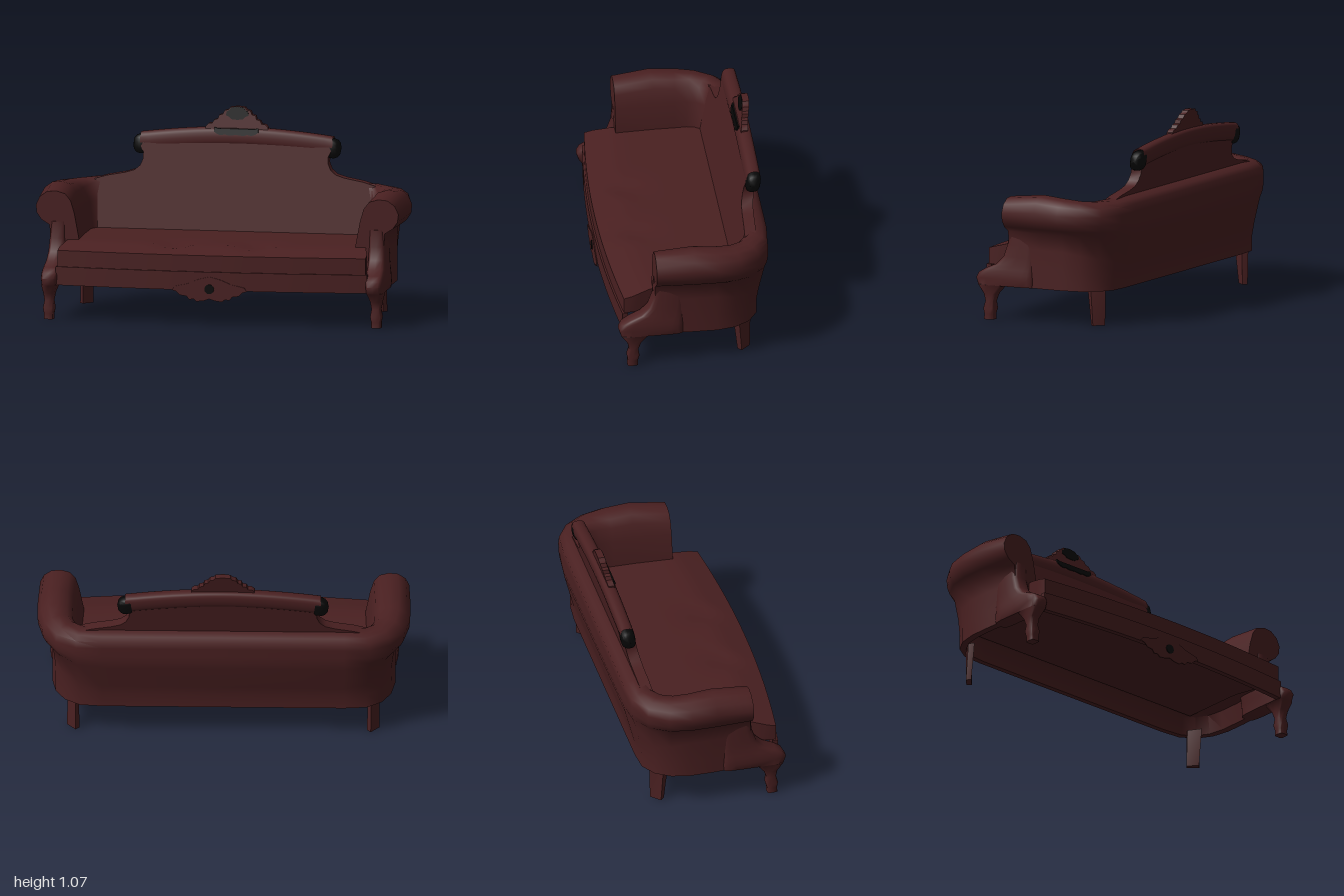
import * as THREE from 'three';
import { toCreasedNormals } from 'three/addons/utils/BufferGeometryUtils.js';

const upholstery = new THREE.MeshStandardMaterial({ color: 0x4a2021, side: THREE.DoubleSide });
upholstery.name = 'mahogany brown';
const black = new THREE.MeshStandardMaterial({ color: 0x060606 });
black.name = 'black trim';

const { lerp, clamp, smoothstep } = THREE.MathUtils;

// Skin closed rings of points into one surface
function loft(rings, crease = 0.8) {
  const n = rings[0].length, index = [];
  for (let i = 0; i < rings.length - 1; i++) {
    for (let j = 0; j < n; j++) {
      const k = (j + 1) % n, a = i * n, b = a + n;
      index.push(a + j, b + j, a + k, b + j, b + k, a + k);
    }
  }
  const geo = new THREE.BufferGeometry();
  geo.setAttribute('position', new THREE.Float32BufferAttribute(rings.flat(2), 3));
  geo.setIndex(index);
  return toCreasedNormals(geo, crease);
}

// Unit oval with squared shoulders; a lower power is squarer
function squaredOval(count, power) {
  const soft = v => Math.sign(v) * Math.abs(v) ** power;
  return Array.from({ length: count }, (_, k) => {
    const a = k / count * Math.PI * 2;
    return [soft(Math.cos(a)), soft(Math.sin(a))];
  });
}

// Move every vertex by a rule
function reshape(geo, rule) {
  const p = geo.attributes.position;
  for (let i = 0; i < p.count; i++) p.setXYZ(i, ...rule(p.getX(i), p.getY(i), p.getZ(i)));
  return toCreasedNormals(geo, 0.7);
}

// Symmetric outline from its right half, extruded backwards from the leaning front face z = front(y)
function leaningPlate(half, depth, front) {
  const left = half.filter(([x]) => x > 0).reverse().map(([x, y]) => [-x, y]);
  const shape = new THREE.Shape([...half, ...left].map(([x, y]) => new THREE.Vector2(x, y)));
  const geo = new THREE.ExtrudeGeometry(shape, { depth, bevelEnabled: false });
  return reshape(geo, (x, y, z) => [x, y, z - depth + front(y)]);
}

export function createModel() {
  const model = new THREE.Group();
  const add = (name, geo, mat = upholstery) => {
    const mesh = new THREE.Mesh(geo, mat);
    mesh.name = name;
    model.add(mesh);
    return mesh;
  };

  // Rolled arms and lower back: one section swept round a U, blending from arm to back
  const armSection = [[0, 0.19], [0, 0.28], [0, 0.4], [0.005, 0.49], [0.05, 0.52], [0.075, 0.56], [0.08, 0.61],
    [0.06, 0.66], [0.02, 0.69], [-0.03, 0.695], [-0.08, 0.68], [-0.11, 0.64], [-0.13, 0.56], [-0.155, 0.42],
    [-0.155, 0.32], [-0.06, 0.29], [-0.04, 0.19]];
  const backSection = [[0, 0.19], [0, 0.27], [0.015, 0.33], [0.053, 0.48], [0.06, 0.52], [0.06, 0.56], [0.06, 0.61],
    [0.06, 0.65], [0.035, 0.67], [0.01, 0.68], [-0.03, 0.69], [-0.06, 0.67], [-0.075, 0.56], [-0.1, 0.42],
    [-0.1, 0.32], [-0.05, 0.29], [-0.03, 0.19]];
  // x, z, blend to back, height change
  const halfPath = [[0.91, 0.205, 0, -0.02], [0.92, 0, 0, 0.003], [0.92, -0.13, 0, -0.008], [0.9, -0.23, 0.25, -0.012],
    [0.85, -0.31, 0.5, -0.012], [0.77, -0.36, 0.8, -0.005], [0.65, -0.37, 1, 0], [0, -0.37, 1, 0]];
  const path = [...halfPath, ...halfPath.slice(0, -1).reverse().map(([x, z, t, h]) => [-x, z, t, h])];
  const rings = path.map(([x, z, t, h], i) => {
    const a = path[Math.max(i - 1, 0)], b = path[Math.min(i + 1, path.length - 1)];
    const dir = new THREE.Vector2(b[0] - a[0], b[1] - a[1]).normalize();
    if (i === 0) dir.set(0, -1);
    if (i === path.length - 1) dir.set(0, 1);
    return armSection.map(([o, y], j) => {
      const off = lerp(o, backSection[j][0], t);
      const high = lerp(y, backSection[j][1], t) + h * smoothstep(y, 0.5, 0.68);
      return [x - dir.y * off, high, z + dir.x * off];
    });
  });
  add('armsAndLowerBack', loft(rings, 1.0));
  for (const [name, ring] of [['leftArmFront', rings[0]], ['rightArmFront', rings[rings.length - 1]]]) {
    const cap = new THREE.ShapeGeometry(new THREE.Shape(ring.map(([x, y]) => new THREE.Vector2(x, y))));
    add(name, cap).position.z = 0.205;
  }

  // Leaning back panel with notched shoulders
  add('backPanel', leaningPlate([[0.76, 0.3], [0.78, 0.62], [0.775, 0.67], [0.7, 0.692], [0.6, 0.71], [0.55, 0.725],
    [0.52, 0.75], [0.505, 0.785], [0.505, 0.82], [0.52, 0.85], [0.5, 0.885], [0.42, 0.91], [0.2, 0.93], [0, 0.935]],
    0.062, y => -0.25 - (y - 0.42) * 0.19));

  // Top roll, drooping to both sides, with black rounded ends tucked under it
  const rollOval = squaredOval(20, 0.7);
  const rollRing = (x, size, drop) => {
    const cy = 0.913 - 0.04 * (Math.min(Math.abs(x), 0.53) / 0.53) ** 1.8 - drop;
    return rollOval.map(([u, v]) => [x, cy + 0.051 * size * u, -0.374 - 0.006 * u - 0.038 * size * v]);
  };
  const rollStations = [...Array.from({ length: 25 }, (_, i) => lerp(-0.525, 0.525, i / 24))];
  add('topRoll', loft(rollStations.map(x => rollRing(x, 1, 0))));
  const endProfile = [[0.488, 0.9], [0.498, 1.04], [0.53, 1.04], [0.548, 0.9], [0.561, 0.62], [0.568, 0]];
  add('leftRollEnd', loft(endProfile.map(([x, size]) => rollRing(x, size, 0.013))), black);
  add('rightRollEnd', loft([...endProfile].reverse().map(([x, size]) => rollRing(-x, size, 0.013))), black);

  // Scalloped crest with its black ornaments
  const crestFront = y => -0.355 - (y - 0.96) * 0.23;
  add('crest', leaningPlate([[0.17, 0.94], [0.17, 0.965], [0.155, 0.98], [0.135, 0.982], [0.125, 1.0], [0.105, 1.005],
    [0.1, 1.025], [0.08, 1.03], [0.07, 1.05], [0.05, 1.055], [0.04, 1.068], [0, 1.072]], 0.035, crestFront));
  add('crestMedallion', leaningPlate([[0, 1.002], [0.03, 1.005], [0.045, 1.018], [0.062, 1.025], [0.058, 1.045],
    [0.045, 1.052], [0.035, 1.065], [0, 1.072]], 0.008, y => crestFront(y) + 0.003), black);
  add('crestStrip', leaningPlate([[0, 0.924], [0.04, 0.92], [0.06, 0.926], [0.085, 0.921], [0.105, 0.928],
    [0.12, 0.938], [0.12, 0.962], [0.1, 0.956], [0, 0.956]], 0.009, y => -0.331 - (y - 0.92) * 0.28), black);

  // Seat cushion: bowed front, flared sides, two shallow dents, sloping front edge
  add('seatCushion', reshape(new THREE.BoxGeometry(2, 1, 1, 40, 1, 14), (x, y, z) => {
    const depth = lerp(-0.28, 0.415 - 0.05 * x * x, z + 0.5);
    const half = 0.78 + 0.06 * clamp((depth - 0.08) / 0.24, 0, 1);
    const dent = 0.018 * Math.exp(-(((Math.abs(x) - 0.27) / 0.11) ** 2)) * smoothstep(z, 0, 0.3);
    const drop = 0.038 * clamp((z - 0.27) / 0.23, 0, 1);
    return [x * half, y > 0 ? 0.415 - Math.max(dent, drop) : 0.29, depth];
  }));

  // Bowed front rail
  add('frontRail', reshape(new THREE.BoxGeometry(1.7, 0.1, 0.03, 24, 1, 1), (x, y, z) =>
    [x, y + 0.24, z + 0.41 - 0.05 * (x / 0.84) ** 2]));

  // Carved apron and its black boss
  add('apron', leaningPlate([[0, 0.145], [0.03, 0.135], [0.07, 0.13], [0.085, 0.143], [0.11, 0.14], [0.125, 0.158],
    [0.16, 0.163], [0.18, 0.182], [0.205, 0.19], [0.19, 0.21], [0.12, 0.225], [0.06, 0.25], [0, 0.265]],
    0.005, () => 0.43));
  const boss = add('apronBoss', new THREE.CylinderGeometry(0.026, 0.026, 0.008, 16), black);
  boss.rotation.x = Math.PI / 2;
  boss.position.set(0, 0.198, 0.43);

  // Front legs sweeping up into the arm supports: y, zMin, zMax, xMin, xMax
  const legSlices = [[0, 0.325, 0.325, 0.892, 0.892], [0, 0.298, 0.355, 0.867, 0.92], [0.03, 0.298, 0.353, 0.867, 0.92],
    [0.06, 0.29, 0.358, 0.862, 0.925], [0.1, 0.295, 0.347, 0.868, 0.918], [0.14, 0.28, 0.355, 0.862, 0.924],
    [0.188, 0.24, 0.39, 0.845, 0.932], [0.19, 0.05, 0.392, 0.838, 0.933], [0.225, 0.05, 0.403, 0.836, 0.936],
    [0.255, 0.05, 0.387, 0.833, 0.934], [0.28, 0.05, 0.345, 0.83, 0.93], [0.305, 0.05, 0.285, 0.828, 0.926],
    [0.35, 0.05, 0.24, 0.825, 0.922], [0.42, 0.05, 0.216, 0.825, 0.918], [0.51, 0.05, 0.21, 0.825, 0.912],
    [0.51, 0.16, 0.16, 0.87, 0.87]];
  const legOval = squaredOval(20, 0.42);
  for (const s of [-1, 1]) {
    const slices = legSlices.map(([y, z0, z1, x0, x1]) => legOval.map(([u, v]) =>
      [s * (x0 + x1) / 2 + (x1 - x0) / 2 * u, y, (z0 + z1) / 2 + (z1 - z0) / 2 * v]));
    add(s > 0 ? 'leftFrontLeg' : 'rightFrontLeg', loft(slices, 1.0));

    // Tapered back legs, flat and set diagonally along the rounded corners
    add(s > 0 ? 'leftBackLeg' : 'rightBackLeg', reshape(new THREE.BoxGeometry(1, 1, 1), (u, y, v) => {
      const top = y > 0, halfX = top ? 0.03 : 0.034, halfZ = top ? 0.049 : 0.035;
      return [s * (0.805 + halfX * (1.4 * u - 0.6 * s * v)), top ? 0.21 : 0,
        (top ? -0.276 : -0.286) + halfZ * (1.4 * u + 0.6 * s * v)];
    }));
  }
  return model;
}
